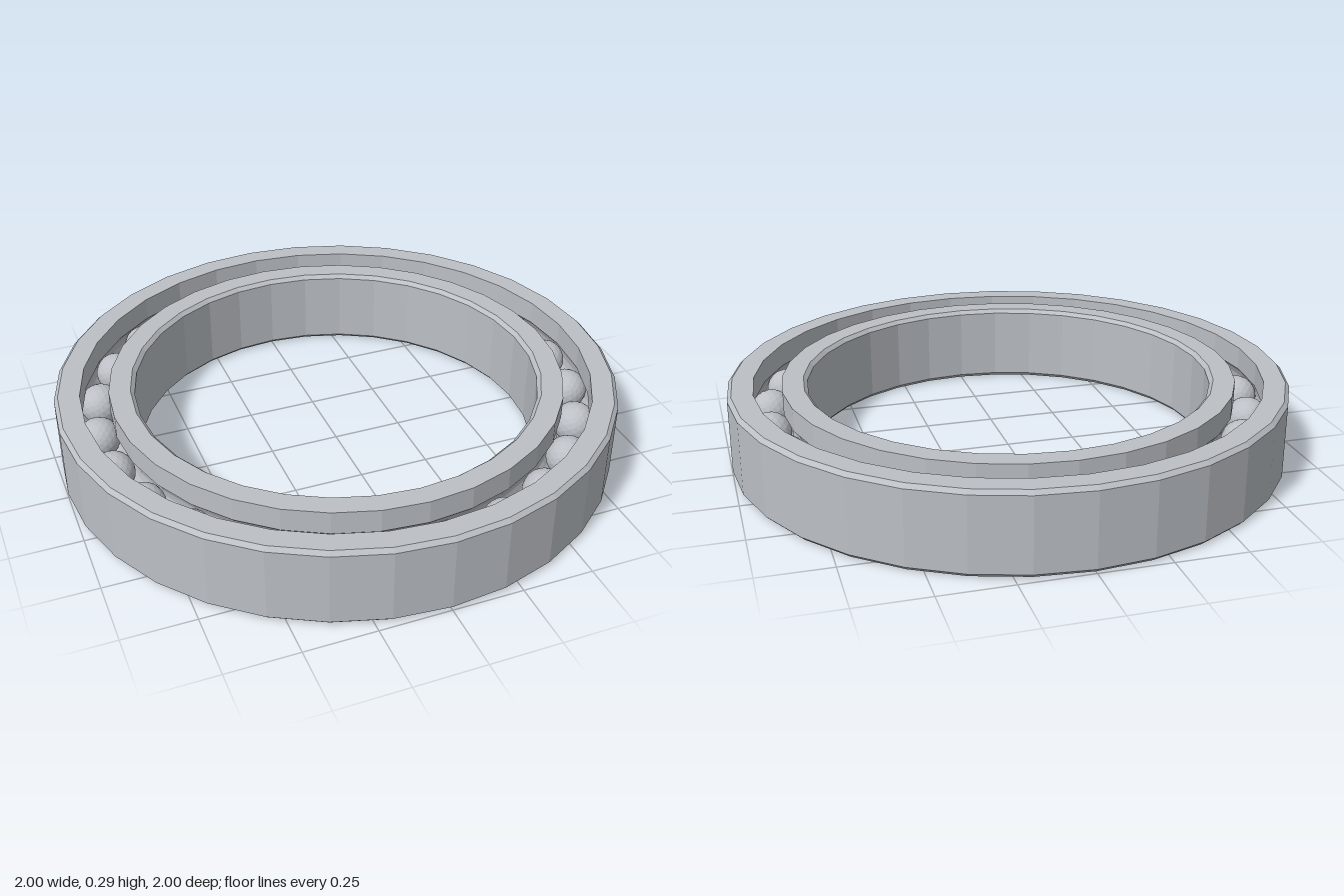
import * as THREE from 'three';

const HEIGHT = 0.29, MID = HEIGHT / 2;
const PITCH = 0.86, BALL_R = 0.075, GROOVE_R = 0.08;
const SEGMENTS = 32, BALLS = 25, CHAMFER = 0.014;

// Points of the ball groove, swept between two angles about the ball centre
function groove(from, to, steps = 6) {
  return Array.from({ length: steps + 1 }, (_, i) => {
    const a = THREE.MathUtils.degToRad(from + ((to - from) * i) / steps);
    return [PITCH + GROOVE_R * Math.cos(a), MID + GROOVE_R * Math.sin(a)];
  });
}

function ring(name, profile, material) {
  const points = [...profile, profile[0]].map(([x, y]) => new THREE.Vector2(x, y));
  const mesh = new THREE.Mesh(new THREE.LatheGeometry(points, SEGMENTS), material);
  mesh.name = name;
  return mesh;
}

export function createModel() {
  const model = new THREE.Group();
  model.name = 'ballBearing';
  const steel = new THREE.MeshStandardMaterial({ color: 0xbcc0c6 });
  steel.name = 'steel';
  steel.flatShading = true;

  // Outer race: chamfered outside, grooved inside
  model.add(ring('outerRace', [
    [0.91, 0], [1 - CHAMFER, 0], [1, CHAMFER],
    [1, HEIGHT - CHAMFER], [1 - CHAMFER, HEIGHT], [0.91, HEIGHT],
    ...groove(51.3, -51.3),
  ], steel));

  // Inner race: grooved outside, chamfered bore
  model.add(ring('innerRace', [
    [0.72 + CHAMFER, 0], [0.81, 0],
    ...groove(231.3, 128.7),
    [0.81, HEIGHT], [0.72 + CHAMFER, HEIGHT],
    [0.72, HEIGHT - CHAMFER], [0.72, CHAMFER],
  ], steel));

  // Balls evenly spaced around the track
  const balls = new THREE.Group();
  balls.name = 'balls';
  const ballGeometry = new THREE.IcosahedronGeometry(BALL_R, 3);
  for (let i = 0; i < BALLS; i++) {
    const a = (i / BALLS) * Math.PI * 2;
    const ball = new THREE.Mesh(ballGeometry, steel);
    ball.name = 'ball';
    ball.position.set(PITCH * Math.cos(a), MID, PITCH * Math.sin(a));
    ball.rotation.y = -a;
    balls.add(ball);
  }
  model.add(balls);
  return model;
}
